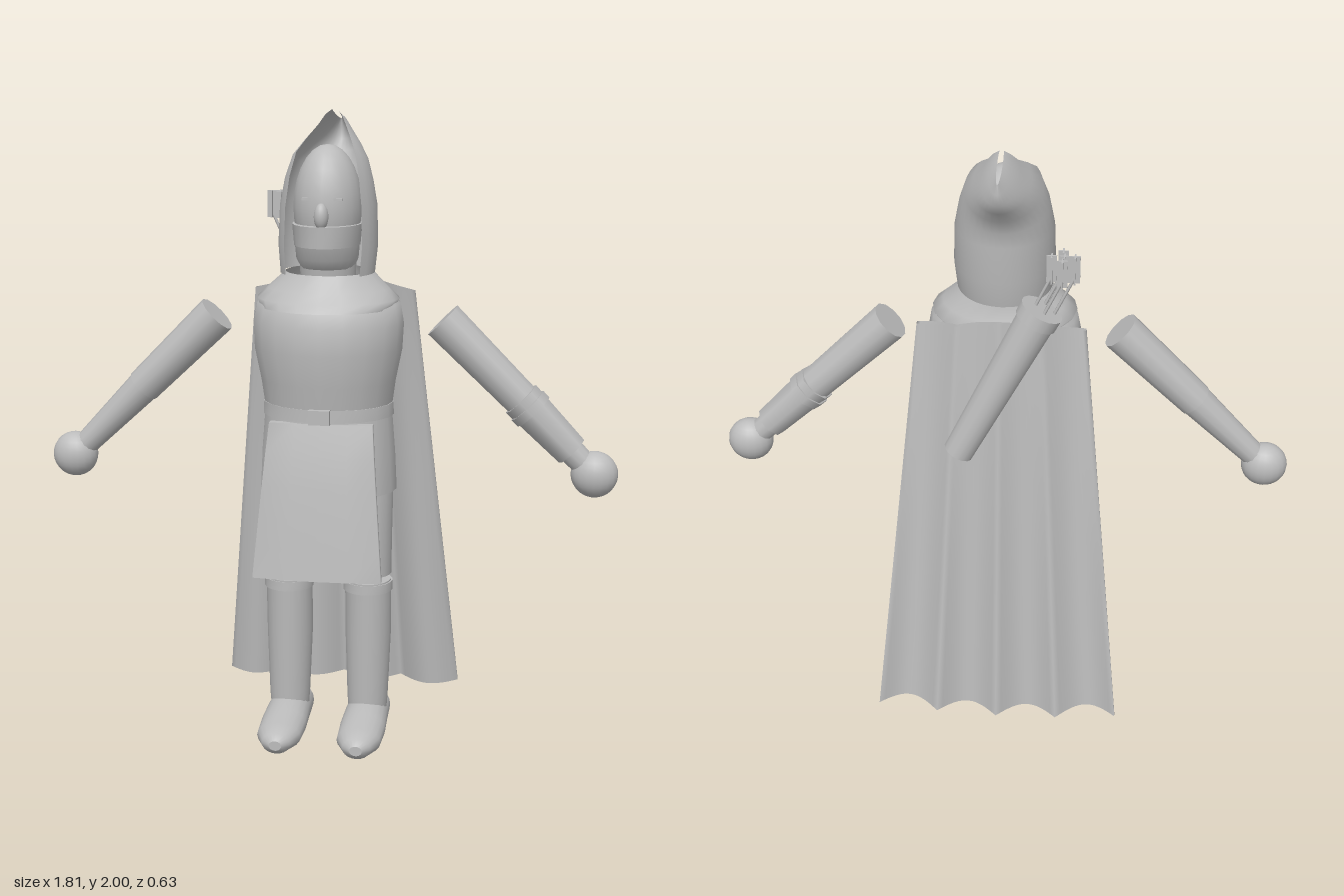
import * as THREE from 'three';

export function createModel() {
  const root = new THREE.Group();
  const mat = new THREE.MeshStandardMaterial({ color: 0xbcbcbc, side: THREE.DoubleSide });
  mat.name = 'plain grey';

  const add = (name, geo, parent = root) => {
    const m = new THREE.Mesh(geo, mat);
    m.name = name;
    parent.add(m);
    return m;
  };

  // grid surface from rows of points; wrap closes each row into a ring
  const surface = (rows, wrap, capped = false) => {
    const n = rows[0].length, pos = rows.flat(2), idx = [];
    for (let i = 0; i < rows.length - 1; i++)
      for (let j = 0; j < (wrap ? n : n - 1); j++) {
        const k = (j + 1) % n, a = i * n + j, b = i * n + k;
        idx.push(a, a + n, b, b, a + n, b + n);
      }
    if (capped) [rows[0], rows[rows.length - 1]].forEach((row, end) => {
      const base = pos.length / 3;
      pos.push(...row.flat());
      for (let j = 1; j < n - 1; j++)
        end ? idx.push(base, base + j + 1, base + j) : idx.push(base, base + j, base + j + 1);
    });
    const g = new THREE.BufferGeometry();
    g.setAttribute('position', new THREE.Float32BufferAttribute(pos, 3));
    g.setIndex(idx);
    g.computeVertexNormals();
    return g;
  };

  // stacked ellipses: [y, radiusX, radiusZ, centreZ, centreX]
  const loft = (rings, sides = 20, capped = true) => surface(rings.map(([y, rx, rz, cz = 0, cx = 0]) =>
    Array.from({ length: sides }, (_, j) => {
      const a = j / sides * Math.PI * 2;
      return [cx + rx * Math.cos(a), y, cz + rz * Math.sin(a)];
    })), true, capped);

  // tapered cylinder from point a to point b
  const limb = (name, a, b, ra, rb, parent = root, sides = 12) => {
    const p = new THREE.Vector3(...a), q = new THREE.Vector3(...b);
    const d = q.clone().sub(p);
    const m = add(name, new THREE.CylinderGeometry(rb, ra, d.length(), sides), parent);
    m.position.copy(p).add(q).multiplyScalar(0.5);
    m.quaternion.setFromUnitVectors(new THREE.Vector3(0, 1, 0), d.normalize());
    return m;
  };
  const ball = (name, p, r, parent = root) => {
    const m = add(name, new THREE.SphereGeometry(1, 20, 14), parent);
    m.position.set(...p);
    m.scale.set(...r);
    return m;
  };

  // body
  add('torso', loft([[1.09, .2, .168, .047], [1.18, .212, .18, .05], [1.28, .232, .193, .052],
    [1.36, .236, .19, .05], [1.42, .225, .175, .045], [1.47, .17, .14, .04]]));
  add('tunicSkirt', loft([[.83, .218, .178, .048], [.95, .212, .175, .048], [1.1, .2, .165, .047]]));
  add('belt', loft([[1.07, .207, .173, .047], [1.11, .205, .173, .047]]));
  add('shoulderMantle', loft([[1.41, .21, .19, .06], [1.435, .222, .18, .05], [1.465, .19, .155, .045],
    [1.515, .135, .135, .035]], 20, false));
  add('buckle', new THREE.BoxGeometry(.065, .045, .02)).position.set(0, 1.09, .224);

  // hanging apron, flaring outwards towards the hem
  const apronAt = (t, dz) => {
    const w = .16 + .04 * t, z = .215 + .085 * Math.pow(t, .75) + dz;
    return [-1, -.5, 0, .5, 1].map(s => [s * w, 1.065 - .475 * t, z - .012 * s * s]);
  };
  add('apron', surface([0, .2, .4, .6, .8, 1].map(t => {
    return [...apronAt(t, 0), ...apronAt(t, -.025).reverse()];
  }), true, true));

  // head
  ball('head', [0, 1.715, .06], [.105, .187, .12]);
  add('neck', loft([[1.47, .085, .085, .05], [1.6, .09, .095, .06]]));
  add('chin', loft([[1.53, .082, .09, .06], [1.56, .096, .11, .065], [1.61, .1, .125, .065]]));
  add('mouthBand', loft([[1.6, .101, .138, .065], [1.665, .107, .142, .065]]));
  ball('nose', [0, 1.695, .185], [.022, .04, .025]);
  for (const s of [1, -1])
    add('eye', new THREE.BoxGeometry(.026, .008, .008)).position.set(s * .048, 1.745, .166);

  // open hood: [yFront, yBack, halfWidth, zFront, zBack]
  const open = 2.25;
  add('hood', surface([
    [1.515, 1.515, .145, .16, -.1], [1.6, 1.6, .153, .155, -.115], [1.72, 1.72, .149, .145, -.12],
    [1.81, 1.77, .135, .13, -.125], [1.88, 1.82, .115, .1, -.15], [1.92, 1.865, .085, .04, -.19],
    [1.955, 1.9, .055, -.02, -.213], [1.985, 1.935, .032, -.05, -.216], [2, 1.965, .008, -.062, -.21],
  ].map(([yf, yb, w, zf, zb]) => Array.from({ length: 25 }, (_, j) => {
    const a = (j / 12 - 1) * open, k = (1 - Math.cos(a)) / (1 - Math.cos(open));
    return [-w * Math.sin(a), yb + (yf - yb) * k, zb + (zf - zb) * k];
  })), false));

  // legs, boots and arms
  for (const s of [1, -1]) {
    const leg = new THREE.Group();
    leg.name = s > 0 ? 'leftLeg' : 'rightLeg';
    root.add(leg);
    const x = s * .128;
    add('thigh', loft([[.55, .075, .08, .048, x], [.7, .077, .084, .049, x], [.87, .08, .088, .05, x]]), leg);
    add('shin', loft([[.08, .062, .062, .045, x], [.13, .066, .066, .045, x], [.35, .074, .085, .035, x],
      [.53, .074, .08, .048, x]]), leg);
    add('bootCuff', loft([[.495, .079, .082, .048, x], [.525, .079, .082, .048, x]]), leg);
    // boot rings run from heel to toe
    add('boot', loft([[-.085, .022, .025, -.07, x], [-.07, .05, .048, -.068, x], [-.03, .066, .062, -.066, x],
      [.07, .07, .065, -.065, x], [.16, .074, .052, -.057, x], [.25, .07, .045, -.052, x],
      [.3, .045, .034, -.048, x], [.315, .02, .016, -.046, x]]).rotateX(Math.PI / 2), leg);

    const arm = new THREE.Group();
    arm.name = s > 0 ? 'leftArm' : 'rightArm';
    root.add(arm);
    const z = .042;
    limb('upperArm', [s * .355, 1.37, z], [s * .6, 1.13, z], .064, .056, arm);
    limb('forearm', [s * .57, 1.16, z], [s * .81, .92, z], .055, .038, arm);
    ball('hand', [s * .832, .9, z], [.073, .073, .06], arm);
    if (s > 0) {
      limb('bracer', [.6, 1.13, z], [.76, .97, z], .064, .053, arm, 8);
      limb('bracerStrap', [.62, 1.11, z], [.64, 1.09, z], .068, .067, arm, 8);
    }
  }

  // cape with folds deepening towards the hem
  const capeRow = (t, dz) => Array.from({ length: 49 }, (_, j) => {
    const s = j / 24 - 1, fold = Math.abs(Math.sin(2 * Math.PI * s));
    const top = -.158 + .07 * s * s, hem = -.315 + .03 * s * s;
    return [s * (.255 + .14 * t), (1.49 - .05 * Math.abs(s)) * (1 - t) + .07 * t,
      top + (hem - top) * t + fold * (.012 + .05 * t) + dz];
  });
  add('cape', surface([0, .15, .3, .45, .6, .8, 1].map(t =>
    [...capeRow(t, 0), ...capeRow(t, .014).reverse()]), true));

  // quiver slung across the back, with arrows
  const quiver = new THREE.Group();
  quiver.name = 'quiver';
  root.add(quiver);
  limb('quiverTube', [.12, 1.07, -.215], [-.125, 1.56, -.193], .047, .06, quiver, 16);
  limb('quiverRim', [-.11, 1.53, -.194], [-.128, 1.566, -.192], .065, .066, quiver, 16);
  for (const [dx, dz] of [[-.035, 0], [.032, 0], [0, -.03], [0, .032], [-.005, 0]]) {
    const x = -.185 + dx, z = -.18 + dz;
    limb('arrowShaft', [x + .06, 1.54, z], [x, 1.67, z], .005, .005, quiver, 6);
    for (const turn of [0, Math.PI / 2]) {
      const f = add('fletching', new THREE.BoxGeometry(.03, .085, .005), quiver);
      f.position.set(x, 1.695, z);
      f.rotation.y = turn;
    }
  }
  return root;
}
